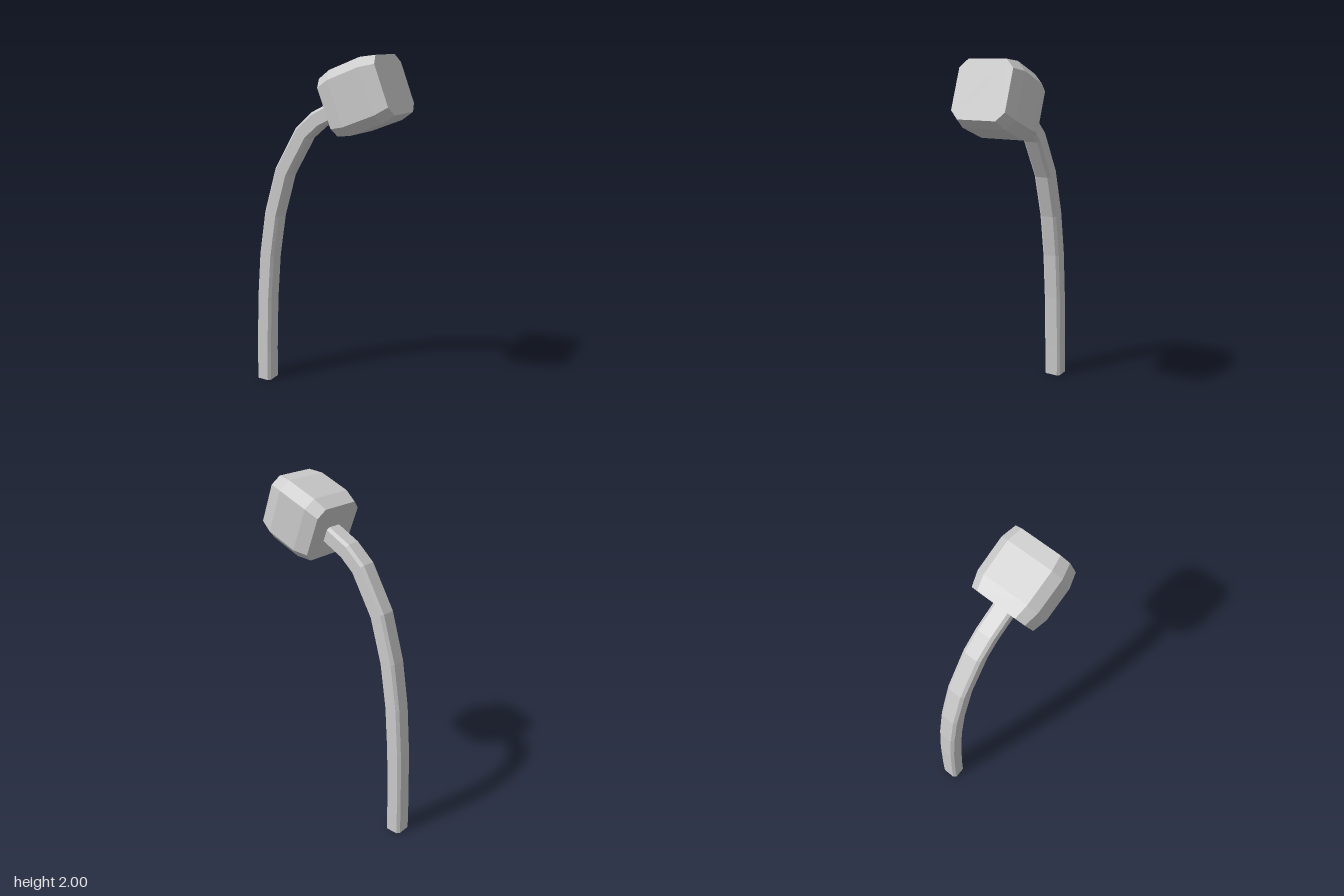
import * as THREE from 'three';

// Chamfered-square outline, counter-clockwise in (u, z); c is the flat half-width as a share of the half size
const outline = (c) => [[1, -c], [1, c], [c, 1], [-c, 1], [-1, c], [-1, -c], [-c, -1], [c, -1]];

// Closed faceted loft; each station holds a centre x, y, an axis angle and half sizes hu (in plane) and hz
function loft(name, stations, flat, material) {
  const rings = stations.map(({ x, y, a, hu, hz }) =>
    outline(flat).map(([u, z]) => [x - Math.sin(a) * u * hu, y + Math.cos(a) * u * hu, z * hz]));
  const pos = [];
  const tri = (...points) => points.forEach((p) => pos.push(...p));
  const first = rings[0], last = rings[rings.length - 1];
  const n = first.length;
  for (let i = 0; i < rings.length - 1; i++) {
    for (let j = 0; j < n; j++) {
      const k = (j + 1) % n;
      tri(rings[i][j], rings[i][k], rings[i + 1][k]);
      tri(rings[i][j], rings[i + 1][k], rings[i + 1][j]);
    }
  }
  // End caps
  for (let j = 1; j < n - 1; j++) {
    tri(first[0], first[j + 1], first[j]);
    tri(last[0], last[j], last[j + 1]);
  }
  const geometry = new THREE.BufferGeometry();
  geometry.setAttribute('position', new THREE.Float32BufferAttribute(pos, 3));
  geometry.computeVertexNormals();
  const mesh = new THREE.Mesh(geometry, material);
  mesh.name = name;
  return mesh;
}

export function createModel() {
  const group = new THREE.Group();
  group.name = 'curvedHammer';
  const material = new THREE.MeshStandardMaterial({ color: 0xcccccc, flatShading: true });

  // Handle: curved bar, each ring mitred to the bend
  const path = [
    [-0.425, 0], [-0.422, 0.2], [-0.41, 0.53], [-0.387, 0.815], [-0.345, 1.075],
    [-0.268, 1.335], [-0.133, 1.565], [-0.04, 1.645], [0.1, 1.715],
  ];
  const handle = path.map(([x, y], i) => {
    const p = path[Math.max(i - 1, 0)], q = path[Math.min(i + 1, path.length - 1)];
    const a = i === 0 ? Math.PI / 2 : Math.atan2(q[1] - p[1], q[0] - p[0]);
    return { x, y, a, hu: 0.049, hz: 0.054 };
  });
  group.add(loft('handle', handle, 0.7, material));

  // Head: chamfered block tapering at both ends, tilted along the handle's end
  const tilt = 0.369;
  const head = [[-0.178, 0.16], [-0.096, 0.18], [0.096, 0.18], [0.178, 0.16]].map(([d, h]) => ({
    x: 0.2475 + Math.cos(tilt) * d, y: 1.786 + Math.sin(tilt) * d, a: tilt, hu: h, hz: h,
  }));
  group.add(loft('head', head, 0.71, material));

  return group;
}
